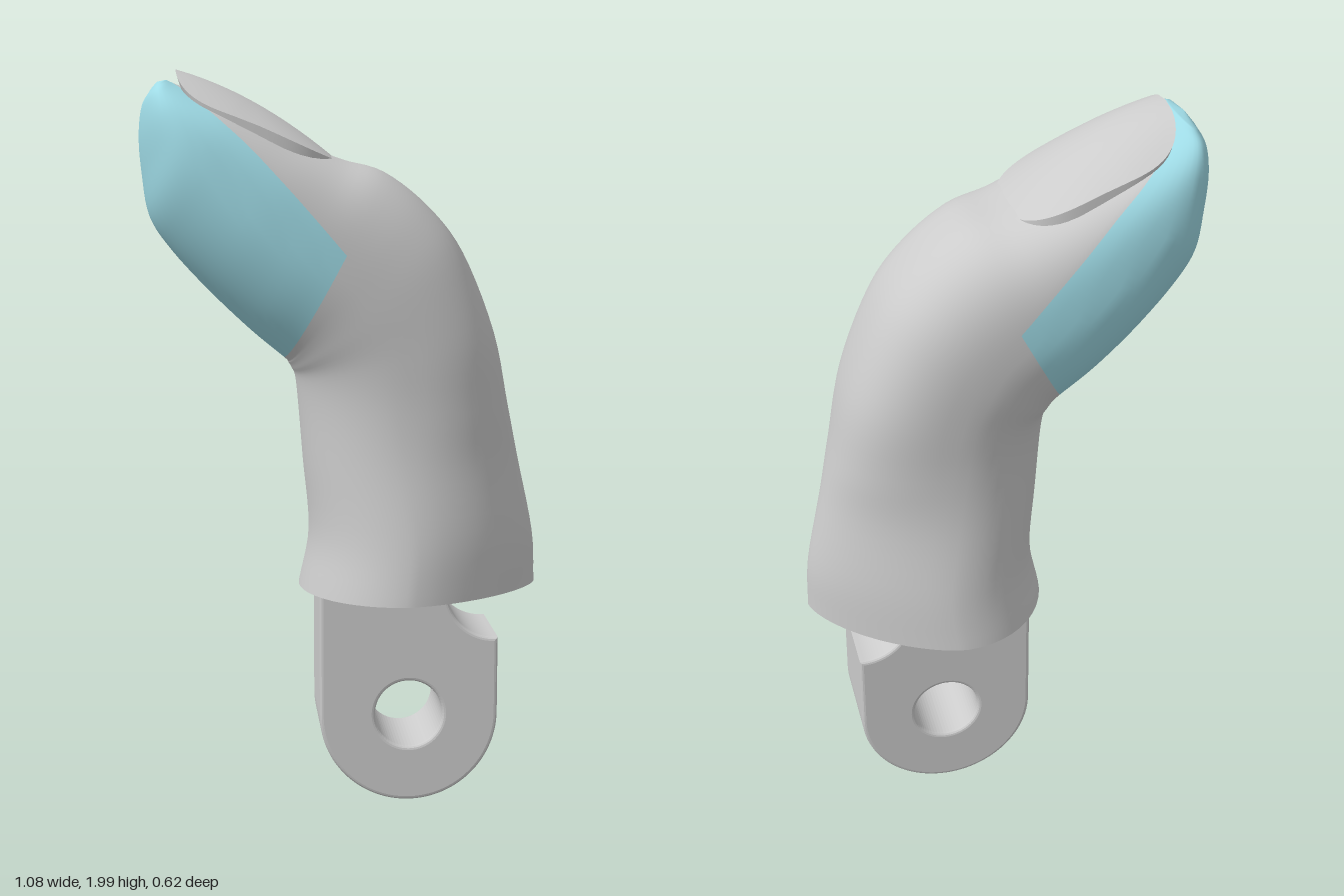
import * as THREE from 'three';

const grey = new THREE.MeshStandardMaterial({ color: 0xcccccc, side: THREE.DoubleSide });
const teal = new THREE.MeshStandardMaterial({ color: 0x9fdbe6, side: THREE.DoubleSide });

// Finger sections from base to tip: palm point x, y; back point x, y; half width;
// share of the depth covered by the pad; squareness of palm and back; depth of the widest line
const SECTIONS = [
  [-0.12, 0.595, 0.54, 0.595, 0.312, 0.5, 2.0, 1.5, 0.41],
  [-0.092, 0.75, 0.532, 0.74, 0.29, 0.5, 2.0, 1.6, 0.42],
  [-0.108, 0.95, 0.487, 0.95, 0.256, 0.5, 2.0, 1.9, 0.44],
  [-0.12, 1.1, 0.455, 1.1, 0.246, 0.5, 2.0, 2.3, 0.47],
  [-0.128, 1.175, 0.412, 1.3, 0.25, 0.5, 2.1, 2.6, 0.5],
  [-0.138, 1.2, 0.325, 1.515, 0.258, 0.52, 2.2, 2.6, 0.5],
  [-0.147, 1.215, 0.228, 1.64, 0.262, 0.55, 2.2, 2.6, 0.5],
  [-0.16, 1.23, 0.11, 1.73, 0.265, 0.57, 2.2, 2.6, 0.5],
  [-0.25, 1.305, 0.0, 1.762, 0.268, 0.66, 2.2, 2.7, 0.5],
  [-0.36, 1.41, -0.11, 1.803, 0.268, 0.75, 2.1, 2.9, 0.5],
  [-0.46, 1.52, -0.21, 1.853, 0.26, 0.82, 2.0, 2.9, 0.52],
  [-0.518, 1.61, -0.3, 1.898, 0.248, 0.87, 1.9, 2.8, 0.54],
  [-0.537, 1.72, -0.37, 1.928, 0.226, 0.91, 1.8, 2.5, 0.56],
  [-0.544, 1.82, -0.42, 1.95, 0.195, 0.95, 1.8, 2.2, 0.56],
  [-0.535, 1.9, -0.45, 1.962, 0.155, 0.98, 1.8, 2.0, 0.54],
  [-0.51, 1.945, -0.468, 1.97, 0.1, 0.98, 1.9, 2.0, 0.5],
];
const CUT = 7;       // section where the pad begins
const STEPS = 5;     // rows per section
const ARC = 28;      // points on the palm arc and on the back arc
const NOTCH = { x: 0.42, y: 0.595, r: 0.13, width: 0.275 };

const spow = (v, e) => Math.sign(v) * Math.abs(v) ** e;

// Surface of closed rings, counter-clockwise from above; point(row, col) gives a corner
function loft(rows, cols, point) {
  const pos = [], index = [];
  for (let i = 0; i < rows; i++)
    for (let j = 0; j < cols; j++) pos.push(...point(i, j));
  for (let i = 0; i < rows - 1; i++)
    for (let j = 0; j < cols; j++) {
      const k = (j + 1) % cols;
      const a = i * cols + j, b = i * cols + k, c = b + cols, d = a + cols;
      index.push(a, b, c, a, c, d);
    }
  const g = new THREE.BufferGeometry();
  g.setAttribute('position', new THREE.Float32BufferAttribute(pos, 3));
  g.setIndex(index);
  g.computeVertexNormals();
  return g;
}

function addMesh(group, name, geometry, material = grey) {
  const mesh = new THREE.Mesh(geometry, material);
  mesh.name = name;
  group.add(mesh);
  return mesh;
}

function makeFinger(group) {
  const curve = (f) => new THREE.CatmullRomCurve3(SECTIONS.map((s) => new THREE.Vector3(...f(s))), false, 'catmullrom', 0.5);
  const palm = curve((s) => [s[0], s[1], 0]);
  const back = curve((s) => [s[2], s[3], 0]);
  const size = curve((s) => [s[4], s[5], 0]);
  const form = curve((s) => [s[6], s[7], s[8]]);
  const last = (SECTIONS.length - 1) * STEPS;
  const cols = 2 * ARC;

  const point = (i, j) => {
    const t = Math.min(i, last) / last;
    const p = palm.getPoint(t), b = back.getPoint(t), w = size.getPoint(t), f = form.getPoint(t);
    const mid = p.clone().lerp(b, f.z);
    if (i > last) return [mid.x - 0.005, mid.y + 0.008, 0];   // closed tip
    // Angle at which the pad ends on this section
    const d = f.z - Math.min(w.y, 0.99);
    const edge = Math.acos(d > 0 ? (d / f.z) ** (f.x / 2) : -((-d / (1 - f.z)) ** (f.y / 2)));
    const a = j < ARC
      ? -edge + (2 * edge * j) / ARC
      : edge + (2 * (Math.PI - edge) * (j - ARC)) / ARC;
    const onPalm = Math.cos(a) > 0;
    const n = onPalm ? f.x : f.y;
    const c = Math.abs(Math.cos(a)) ** (2 / n);
    const end = mid.clone().lerp(onPalm ? p : b, c);
    return [end.x, end.y, w.x * spow(Math.sin(a), 2 / n)];
  };
  const whole = loft(last + 2, cols, point);

  // Split the one smooth skin into the grey body and the coloured pad
  const skin = [], pad = [];
  const all = whole.index.array;
  for (let q = 0; q < all.length / 6; q++) {
    const row = Math.floor(q / cols), col = q % cols;
    const inPad = row >= last - STEPS || (row >= CUT * STEPS && col < ARC);
    (inPad ? pad : skin).push(...all.slice(q * 6, q * 6 + 6));
  }
  const part = (index) => whole.clone().setIndex(index);
  addMesh(group, 'fingerBody', part(skin));
  addMesh(group, 'fingertipPad', part(pad), teal);

  // Flat underside of the finger, open above the notch of the lug
  const ring = [];
  for (let j = 0; j < cols; j++) {
    const [x, , z] = point(0, j);
    ring.push(new THREE.Vector2(x, z));
  }
  const shape = new THREE.Shape(ring);
  const { x, r, width } = NOTCH;
  shape.holes.push(new THREE.Path([[x - r, -1], [x, -1], [x, 1], [x - r, 1]]
    .map(([u, v]) => new THREE.Vector2(u, (v * width) / 2))));
  const base = new THREE.ShapeGeometry(shape).rotateX(Math.PI / 2);
  addMesh(group, 'fingerBase', base).position.y = SECTIONS[0][1];
}

// Quarter-round pocket in the underside that continues the notch upwards
function makePocket(group) {
  const { x, y, r, width } = NOTCH;
  const pocket = new THREE.Group();
  pocket.name = 'notchPocket';
  pocket.position.set(x, y, 0);
  addMesh(pocket, 'pocketCeiling',
    new THREE.CylinderGeometry(r, r, width, 12, 1, true, Math.PI, Math.PI / 2).rotateX(Math.PI / 2));
  for (const side of [-1, 1])
    addMesh(pocket, 'pocketSide', new THREE.CircleGeometry(r, 12, Math.PI / 2, Math.PI / 2)).position.z = (side * width) / 2;
  addMesh(pocket, 'pocketWall', new THREE.PlaneGeometry(width, r).rotateY(-Math.PI / 2)).position.y = r / 2;
  group.add(pocket);
}

function makeNail(group) {
  const cols = 64, rings = 10;
  const surface = (r, j) => {
    const a = (j / cols) * 2 * Math.PI;
    const e = Math.cos(a) > 0 ? 0.55 : 0.7;             // rounder towards the root
    const x = -0.23 - 0.213 * r * spow(Math.cos(a), e);
    const z = 0.197 * r * spow(Math.sin(a), e);
    const s = (-0.017 - x) / 0.426;                     // 0 at the root, 1 at the free edge
    const y = 1.762 + 0.236 * s + 0.12 * s * (1 - s);
    return [x, y - (0.035 + 0.06 * s) * (z / 0.2) ** 2, z];
  };
  addMesh(group, 'nailPlate', loft(rings + 1, cols, (i, j) => surface(1 - i / rings, j)));
  addMesh(group, 'nailRim', loft(2, cols, (i, j) => {
    const [x, y, z] = surface(1, j);
    return i ? [x, y, z] : [x + (x < -0.23 ? 0.015 : 0), y - 0.045, z];
  }));
}

// Hinge lug with a rounded foot, pin hole and a concave notch at the back
function makeLug(group) {
  const bevel = 0.01, x = 0.175, y = 0.253, r = 0.245 - bevel;
  const shape = new THREE.Shape();
  const notch = NOTCH.r + bevel;
  shape.moveTo(x - r, 0.6);
  shape.lineTo(x - r, y);
  shape.absarc(x, y, r, Math.PI, 2 * Math.PI, false);
  shape.lineTo(x + r, NOTCH.y - notch);
  shape.absarc(x + r, NOTCH.y, notch, Math.PI * 1.5, Math.PI, true);
  shape.closePath();
  const hole = new THREE.Path();
  hole.absarc(x, y, 0.093 + bevel, 0, 2 * Math.PI, true);
  shape.holes.push(hole);
  const depth = NOTCH.width - 2 * bevel;
  const geometry = new THREE.ExtrudeGeometry(shape, {
    depth, bevelThickness: bevel, bevelSize: bevel, bevelSegments: 3, curveSegments: 32,
  });
  addMesh(group, 'hingeLug', geometry).position.z = -depth / 2;
}

export function createModel() {
  const group = new THREE.Group();
  group.name = 'prostheticFingertip';
  makeFinger(group);
  makePocket(group);
  makeNail(group);
  makeLug(group);
  return group;
}
